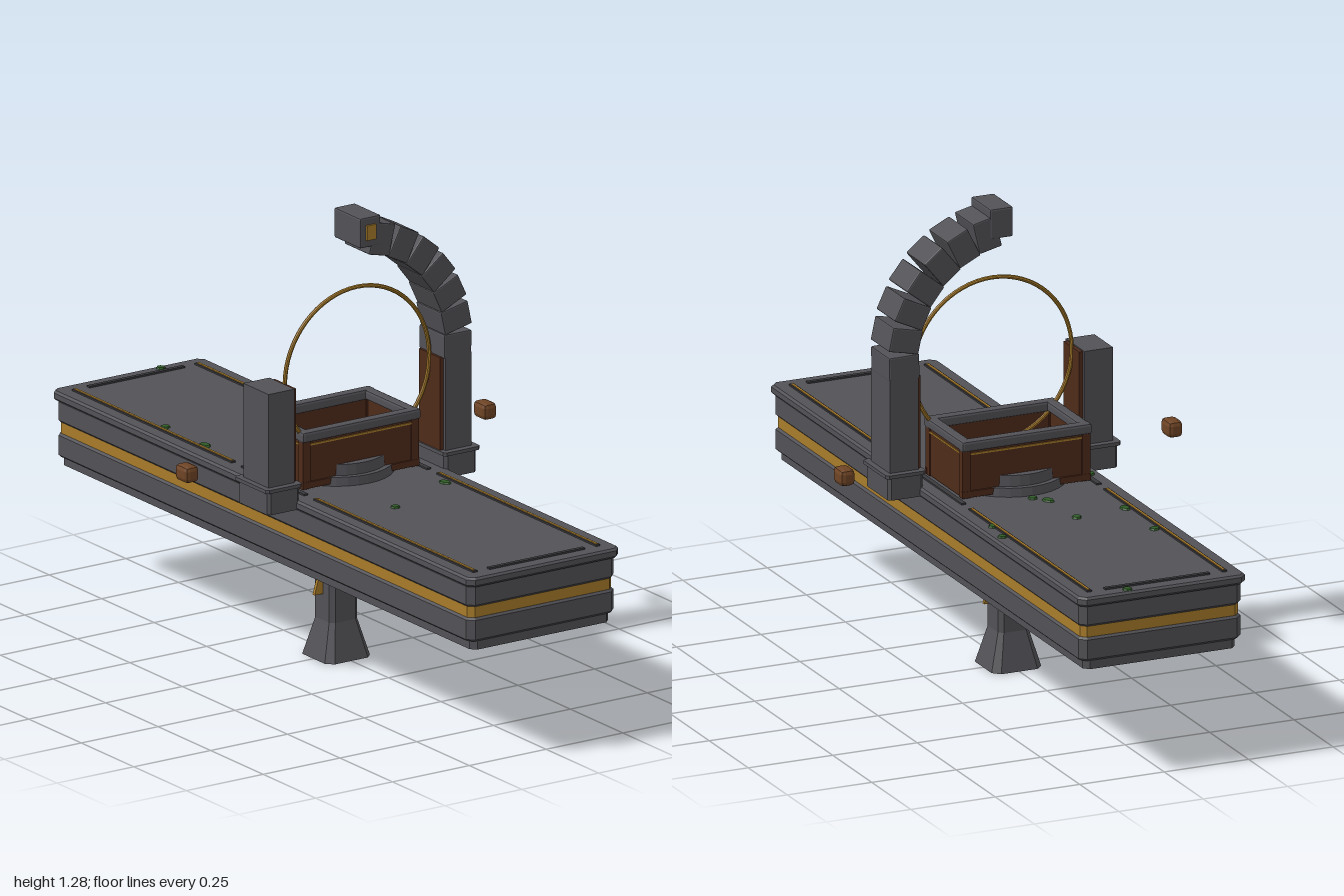
import * as THREE from 'three';
import { RoundedBoxGeometry } from 'three/addons/geometries/RoundedBoxGeometry.js';

const mat = (name, color) => {
  const m = new THREE.MeshStandardMaterial({ color, flatShading: true });
  m.name = name;
  return m;
};

export function createModel() {
  const model = new THREE.Group();
  const stone = mat('stone grey', 0x525257);
  const dark = mat('dark grey', 0x3a3a3e);
  const wood = mat('dark brown', 0x4f2b1a);
  const bronze = mat('bronze brown', 0x6e4425);
  const gold = mat('old gold', 0xa87c2a);
  const moss = mat('moss green', 0x2f5c26);

  const add = (name, geometry, material, x = 0, y = 0, z = 0, parent = model) => {
    const mesh = new THREE.Mesh(geometry, material);
    mesh.name = name;
    mesh.position.set(x, y, z);
    parent.add(mesh);
    return mesh;
  };
  const box = (name, m, w, h, d, x, y, z, parent) =>
    add(name, new THREE.BoxGeometry(w, h, d), m, x, y, z, parent);

  // Rectangle with cut corners, in the ground plane
  const cutRect = (w, d, c) => {
    const x = w / 2, z = d / 2;
    return new THREE.Shape([[x - c, -z], [x, -z + c], [x, z - c], [x - c, z],
      [-x + c, z], [-x, z - c], [-x, -z + c], [-x + c, -z]].map(p => new THREE.Vector2(...p)));
  };
  // Upright bevelled plate between two heights
  const plate = (name, m, w, d, y0, y1, cut, bevel = 0, x = 0, z = 0) => {
    const g = new THREE.ExtrudeGeometry(cutRect(w - 2 * bevel, d - 2 * bevel, cut), {
      depth: y1 - y0 - 2 * bevel, bevelEnabled: bevel > 0, bevelSize: bevel,
      bevelThickness: bevel, bevelSegments: 1,
    });
    g.rotateX(-Math.PI / 2);
    return add(name, g, m, x, y0 + bevel, z);
  };

  // Long layered platform
  plate('platformFoot', stone, 0.45, 1.96, 0.315, 0.345, 0.015);
  plate('platformLowerBand', stone, 0.48, 1.975, 0.34, 0.407, 0.015, 0.006);
  plate('platformGoldBand', gold, 0.468, 1.962, 0.4, 0.445, 0.015);
  plate('platformUpperBand', stone, 0.48, 1.975, 0.438, 0.502, 0.015, 0.006);
  plate('platformTop', stone, 0.495, 2, 0.498, 0.525, 0.015, 0.006);

  // Raised edge strips on the deck
  for (const s of [-1, 1]) {
    box('endStrip', dark, 0.31, 0.006, 0.012, 0, 0.527, s * 0.952);
    for (const t of [-1, 1]) {
      box('sideStrip', dark, 0.014, 0.005, 0.76, s * 0.2, 0.527, t * 0.575);
      box('sideInlay', gold, 0.007, 0.003, 0.75, s * 0.2, 0.53, t * 0.575);
    }
    box('middleStrip', dark, 0.014, 0.005, 0.3, s * 0.2, 0.527, 0);
  }

  // Handle below: square stem, flared foot and gold side fins
  plate('stem', stone, 0.09, 0.09, 0.1, 0.32, 0.012);
  const foot = plate('stemFoot', stone, 0.09, 0.09, 0, 0.105, 0.012);
  const fp = foot.geometry.attributes.position;
  for (let i = 0; i < fp.count; i++) {
    if (fp.getY(i) < 0.01) fp.setXYZ(i, fp.getX(i) * 1.63, fp.getY(i), fp.getZ(i) * 1.63);
  }
  foot.geometry.computeVertexNormals();
  for (const s of [0, Math.PI]) {
    const fin = new THREE.Shape([[0.04, 0.18], [0.073, 0.18], [0.04, 0.295]]
      .map(p => new THREE.Vector2(...p)));
    const g = new THREE.ExtrudeGeometry(fin, { depth: 0.01, bevelEnabled: false });
    g.translate(0, 0, -0.005);
    add('stemFin', g, gold).rotation.y = s;
  }

  // Open chest with round pedestal through its floor
  const chest = new THREE.Group();
  chest.name = 'chest';
  model.add(chest);
  for (const s of [-1, 1]) {
    box('chestLongWall', wood, 0.37, 0.14, 0.016, 0, 0.6, s * 0.107, chest);
    box('chestEndWall', wood, 0.016, 0.14, 0.2, s * 0.177, 0.6, 0, chest);
    box('chestGoldLine', gold, 0.374, 0.005, 0.004, 0, 0.653, s * 0.116, chest);
    box('chestSideGoldLine', gold, 0.004, 0.005, 0.234, s * 0.186, 0.653, 0, chest);
    box('chestFootTrim', wood, 0.38, 0.018, 0.01, 0, 0.54, s * 0.115, chest);
    for (const t of [-1, 1]) {
      box('chestCorner', wood, 0.024, 0.14, 0.024, s * 0.177, 0.6, t * 0.107, chest);
    }
    add('chestLongRim', new RoundedBoxGeometry(0.385, 0.03, 0.032, 1, 0.007), stone, 0, 0.677, s * 0.109, chest);
    add('chestEndRim', new RoundedBoxGeometry(0.032, 0.028, 0.25, 1, 0.007), stone, s * 0.176, 0.677, 0, chest);
  }
  box('chestFloor', stone, 0.35, 0.02, 0.21, 0, 0.55, 0, chest);
  add('pedestalStep', new THREE.CylinderGeometry(0.155, 0.158, 0.025, 32), stone, 0, 0.537, 0);
  add('pedestal', new THREE.CylinderGeometry(0.138, 0.142, 0.055, 32), stone, 0, 0.5525, 0);

  // Dial and pointer inside the chest
  const dial = new THREE.TorusGeometry(0.1, 0.005, 6, 32);
  dial.rotateX(Math.PI / 2);
  add('dialRing', dial, wood, 0, 0.581, 0);
  box('pointer', bronze, 0.12, 0.006, 0.007, -0.01, 0.584, 0);
  const tip = new THREE.ConeGeometry(0.014, 0.035, 4);
  tip.rotateZ(-Math.PI / 2);
  add('pointerTip', tip, bronze, 0.055, 0.584, 0);

  // Two posts with bases, collars and inner wooden strips
  const postZ = 0.102;
  for (const s of [-1, 1]) {
    plate('postBase', stone, 0.103, 0.146, 0.5, 0.565, 0.008, 0, s * 0.288, postZ);
    plate('postCollar', stone, 0.118, 0.158, 0.563, 0.573, 0.008, 0, s * 0.289, postZ);
    box('post', stone, 0.085, 0.275, 0.12, s * 0.288, 0.7, postZ);
    box('postInnerStrip', wood, 0.013, 0.265, 0.1, s * 0.241, 0.702, postZ);
  }

  // Segmented arm curving from the left post to the middle
  for (let i = 0; i < 7; i++) {
    const a = THREE.MathUtils.degToRad(-3 + i * 12.9);
    const seg = add('armSegment', new RoundedBoxGeometry(0.09, 0.068, 0.12, 1, 0.004), stone,
      -0.05 + 0.337 * Math.cos(a), 0.883 + 0.337 * Math.sin(a), postZ);
    seg.rotation.z = a + 0.04;
  }
  add('armHead', new RoundedBoxGeometry(0.068, 0.085, 0.125, 1, 0.005), stone, 0, 1.237, postZ);
  box('armHeadPlate', gold, 0.03, 0.042, 0.008, 0, 1.237, postZ + 0.065);

  // Large upright ring between the posts
  add('ring', new THREE.TorusGeometry(0.235, 0.006, 8, 64), gold, 0, 0.83, 0.1);

  // Floating studs at each side
  for (const s of [-1, 1]) {
    add('floatingStud', new RoundedBoxGeometry(0.044, 0.047, 0.06, 1, 0.013), bronze, s * 0.485, 0.602, 0);
  }

  // Moss patches on the deck
  const patches = [[0.1, -0.98], [-0.03, -0.375], [-0.02, -0.215], [0.01, -0.18], [-0.215, -0.06],
    [-0.21, -0.03], [0.22, -0.44], [0.205, -0.35], [0.17, 0.27], [-0.06, 0.37], [-0.18, -0.55], [-0.18, -0.36]];
  patches.forEach(([x, z], i) => {
    const patch = add('mossPatch', new THREE.CylinderGeometry(0.011, 0.014, 0.006, 7), moss, x, 0.527, z);
    patch.scale.x = 1 + (i % 3) * 0.25;
    patch.rotation.y = i;
  });

  return model;
}
